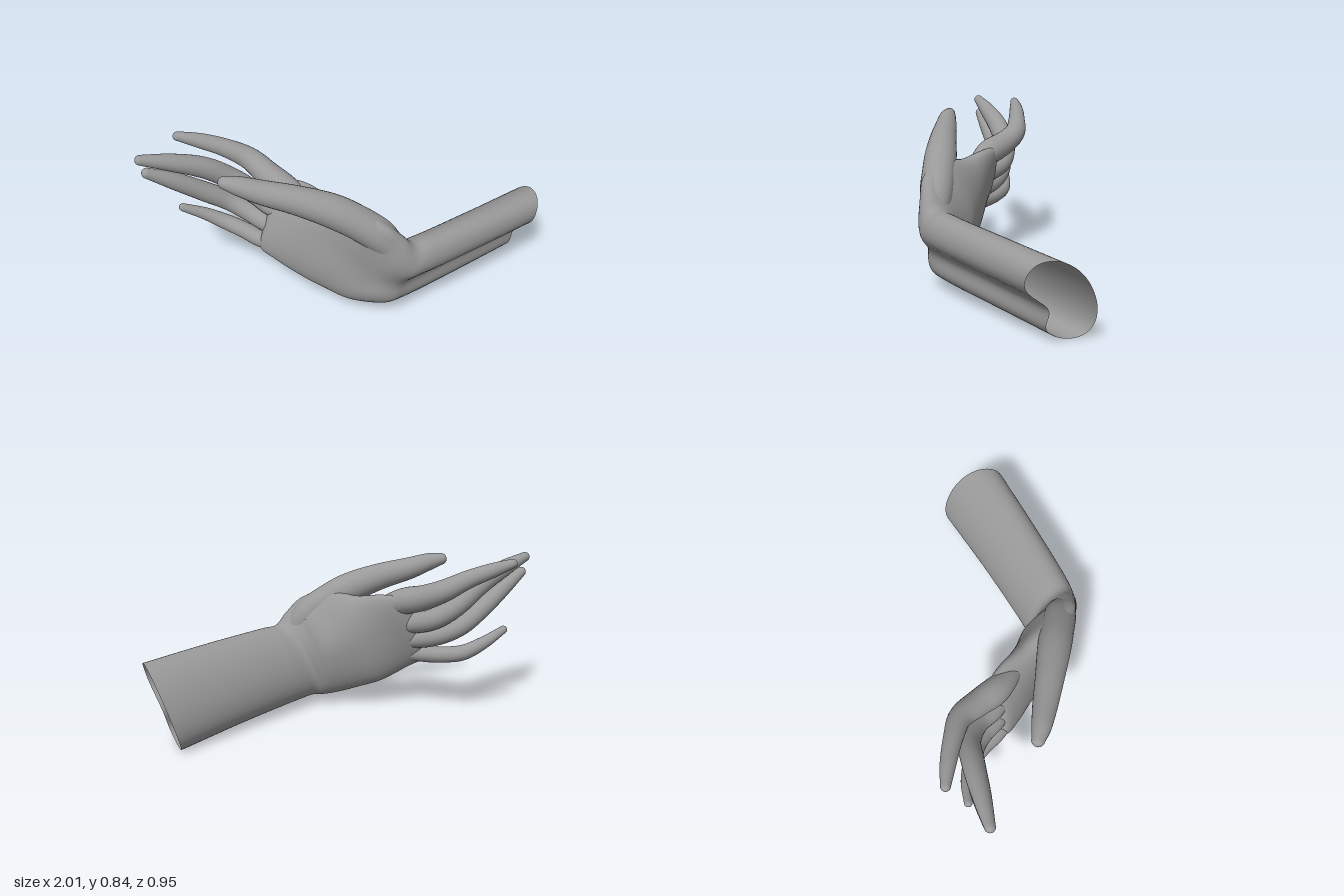
import * as THREE from 'three';

const skin = new THREE.MeshStandardMaterial({ color: 0x999999, side: THREE.DoubleSide });
const V = (a) => new THREE.Vector3(a[0], a[1], a[2]);

// Smooth surface over a list of closed rings that all have the same point count
function skinRings(rings, name) {
  const n = rings[0].length;
  const index = [];
  for (let i = 0; i < rings.length - 1; i++) {
    for (let j = 0; j < n; j++) {
      const a = i * n + j, b = i * n + (j + 1) % n;
      index.push(a, b, a + n, b, b + n, a + n);
    }
  }
  const geometry = new THREE.BufferGeometry().setFromPoints(rings.flat());
  geometry.setIndex(index);
  geometry.computeVertexNormals();
  const mesh = new THREE.Mesh(geometry, skin);
  mesh.name = name;
  return mesh;
}

// Oval cross-section: centre c, half-axis u to the thumb side, s to the palm side.
// groove dents the palm side, cup bends the thumb side, power below 1 makes it boxier.
function section({ c, u, s, groove = 0, cup = [0, 0, 0], power = 1 }, count = 56) {
  const shape = (v) => Math.sign(v) * Math.abs(v) ** power;
  return Array.from({ length: count }, (_, j) => {
    const angle = (1 - j / count) * Math.PI * 2;
    const up = shape(Math.cos(angle));
    const dent = 1 - groove * Math.exp(-(((angle - 1.72) / 0.4) ** 2));
    return V(c).addScaledVector(V(u), up)
      .addScaledVector(V(s), shape(Math.sin(angle)) * dent)
      .addScaledVector(V(cup), Math.max(0, up) ** 2);
  });
}

// Forearm, wrist and palm in one smooth loft, open at the arm end
function buildArm() {
  const sections = [
    { c: [0.951, 0.2, 0.138], u: [0.045, 0.2, 0.095], s: [-0.032, -0.02, 0.145], groove: 0.56, power: 0.95 },
    { c: [0.55, 0.222, 0.245], u: [0.05, 0.199, 0.08], s: [-0.01, -0.02, 0.135], groove: 0.55 },
    { c: [0.18, 0.238, 0.332], u: [0.065, 0.197, 0.065], s: [0.01, -0.02, 0.124], groove: 0.5 },
    { c: [0.085, 0.244, 0.343], u: [0.07, 0.198, 0.058], s: [0.015, -0.015, 0.122], groove: 0.4 },
    { c: [0.025, 0.26, 0.31], u: [0.06, 0.213, 0.045], s: [-0.015, 0, 0.125], cup: [0.01, 0.03, 0.05], groove: 0.28 },
    { c: [-0.06, 0.297, 0.225], u: [0.05, 0.236, 0.01], s: [-0.07, 0, 0.087], cup: [0.03, 0.04, 0.16], groove: 0.1, power: 0.9 },
    { c: [-0.14, 0.337, 0.15], u: [0.06, 0.24, 0.015], s: [-0.068, 0, 0.072], cup: [0, 0.055, 0.11], power: 0.9 },
    { c: [-0.22, 0.375, 0.07], u: [0.07, 0.235, 0.02], s: [-0.064, 0, 0.06], cup: [-0.01, 0.005, 0.03], power: 0.88 },
    { c: [-0.315, 0.43, -0.03], u: [0.09, 0.208, 0.01], s: [-0.056, 0, 0.045], power: 0.92 },
    { c: [-0.37, 0.452, -0.095], u: [0.09, 0.183, 0], s: [-0.048, 0, 0.03], power: 0.96 },
    { c: [-0.388, 0.46, -0.12], u: [0.055, 0.13, 0], s: [-0.026, 0, 0.015] },
    { c: [-0.39, 0.461, -0.123], u: [0, 0, 0], s: [0, 0, 0] },
  ].map((p) => section(p));
  const lines = sections[0].map((_, j) =>
    new THREE.CatmullRomCurve3(sections.map((ring) => ring[j])));
  const rows = 88;
  const rings = Array.from({ length: rows + 1 }, (_, i) =>
    lines.map((line) => line.getPoint(i / rows)));
  return skinRings(rings, 'forearmAndPalm');
}

// Tapered digit along [x, y, z, radius] stations with a domed tip
function buildDigit(name, stations) {
  const path = new THREE.CatmullRomCurve3(stations.map(V));
  const radii = new THREE.CatmullRomCurve3(
    stations.map((p) => V([p[3], 0, 0])), false, 'catmullrom');
  const steps = 32, sides = 24, dome = 6;
  const { tangents, normals, binormals } = path.computeFrenetFrames(steps);
  const ring = (centre, k, r) => Array.from({ length: sides }, (_, j) => {
    const a = j / sides * Math.PI * 2;
    return centre.clone().addScaledVector(normals[k], r * Math.cos(a))
      .addScaledVector(binormals[k], r * Math.sin(a));
  });
  const rings = [];
  for (let k = 0; k <= steps; k++) {
    const t = path.getUtoTmapping(k / steps);
    rings.push(ring(path.getPoint(t), k, radii.getPoint(t).x));
  }
  const tip = stations.at(-1);
  for (let k = 1; k <= dome; k++) {
    const a = k / dome * Math.PI / 2;
    const centre = V(tip).addScaledVector(tangents[steps], tip[3] * Math.sin(a));
    rings.push(ring(centre, steps, tip[3] * Math.cos(a)));
  }
  return skinRings(rings, name);
}

// Stations from inside the palm to the fingertip
const digits = {
  thumb: [
    [0.1, 0.35, 0.375, 0.045], [0.05, 0.425, 0.362, 0.072], [0, 0.493, 0.338, 0.084],
    [-0.1, 0.572, 0.287, 0.085], [-0.2, 0.632, 0.237, 0.084], [-0.35, 0.692, 0.165, 0.072],
    [-0.5, 0.735, 0.09, 0.06], [-0.6, 0.77, 0.04, 0.047], [-0.655, 0.784, 0.007, 0.032],
  ],
  indexFinger: [
    [-0.2, 0.53, 0.06, 0.03], [-0.27, 0.575, -0.02, 0.054], [-0.325, 0.607, -0.1, 0.07],
    [-0.37, 0.637, -0.2, 0.066], [-0.425, 0.685, -0.3, 0.058], [-0.53, 0.743, -0.363, 0.047],
    [-0.65, 0.787, -0.417, 0.038], [-0.748, 0.817, -0.453, 0.024],
  ],
  middleFinger: [
    [-0.27, 0.46, 0.01, 0.03], [-0.375, 0.485, -0.12, 0.053], [-0.43, 0.52, -0.22, 0.056],
    [-0.52, 0.59, -0.285, 0.056], [-0.66, 0.69, -0.303, 0.055], [-0.82, 0.76, -0.308, 0.045],
    [-0.973, 0.812, -0.312, 0.026],
  ],
  ringFinger: [
    [-0.31, 0.37, 0, 0.03], [-0.41, 0.395, -0.12, 0.05], [-0.475, 0.425, -0.215, 0.051],
    [-0.555, 0.475, -0.28, 0.052], [-0.67, 0.55, -0.3, 0.051], [-0.82, 0.652, -0.308, 0.044],
    [-0.95, 0.732, -0.312, 0.027],
  ],
  littleFinger: [
    [-0.35, 0.3, -0.01, 0.03], [-0.45, 0.304, -0.12, 0.044], [-0.51, 0.314, -0.22, 0.043],
    [-0.575, 0.333, -0.295, 0.041], [-0.67, 0.384, -0.345, 0.033], [-0.785, 0.445, -0.37, 0.021],
  ],
};

export function createModel() {
  const model = new THREE.Group();
  model.name = 'handAndForearm';
  model.add(buildArm());
  for (const [name, stations] of Object.entries(digits)) model.add(buildDigit(name, stations));
  return model;
}
